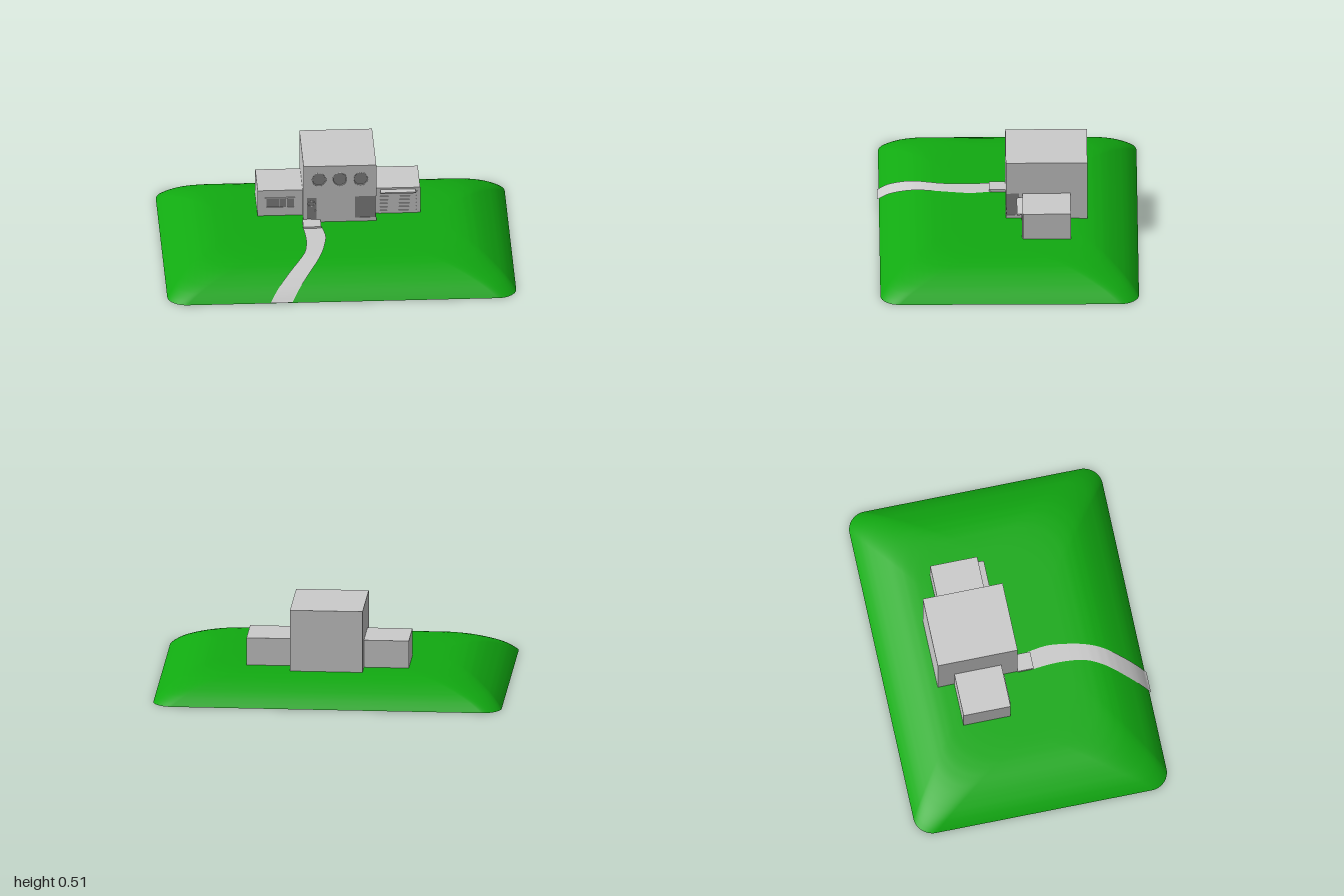
import * as THREE from 'three';

const grey = new THREE.MeshStandardMaterial({ color: 0xcccccc });
const dark = new THREE.MeshStandardMaterial({ color: 0x858585 });
const green = new THREE.MeshStandardMaterial({ color: 0x11aa11 });
const stone = new THREE.MeshStandardMaterial({ color: 0xcccccc, side: THREE.DoubleSide });

const HALF_X = 1, HALF_Z = 0.74, MID_Z = -0.005;
// slope of the hill: inset from the rim -> height
const slope = [[0, 0], [0.02, 0.022], [0.05, 0.049], [0.08, 0.07], [0.12, 0.093], [0.16, 0.113],
  [0.2, 0.129], [0.25, 0.142], [0.3, 0.149], [0.36, 0.152], [0.42, 0.153]];

function hillHeight(inset) {
  for (let i = 1; i < slope.length; i++) {
    const [a, ya] = slope[i - 1], [b, yb] = slope[i];
    if (inset <= b) return ya + (yb - ya) * Math.max(0, inset - a) / (b - a);
  }
  return slope[slope.length - 1][1];
}

function add(group, name, geometry, material = grey) {
  const mesh = new THREE.Mesh(geometry, material);
  mesh.name = name;
  group.add(mesh);
  return mesh;
}

// box given by its limits on each axis
function block(group, name, [x0, x1], [y0, y1], [z0, z1], material) {
  const mesh = add(group, name, new THREE.BoxGeometry(x1 - x0, y1 - y0, z1 - z0), material);
  mesh.position.set((x0 + x1) / 2, (y0 + y1) / 2, (z0 + z1) / 2);
  return mesh;
}

function polygon(points) {
  return new THREE.Shape(points.map(([x, y]) => new THREE.Vector2(x, y)));
}

function frame(group, name, [x0, x1], [y0, y1], t, z, depth) {
  const shape = polygon([[x0, y0], [x1, y0], [x1, y1], [x0, y1]]);
  shape.holes.push(polygon([[x0 + t, y0 + t], [x0 + t, y1 - t], [x1 - t, y1 - t], [x1 - t, y0 + t]]));
  add(group, name, new THREE.ExtrudeGeometry(shape, { depth, bevelEnabled: false })).position.z = z;
}

// hill: rounded-rectangle rings stacked along the slope
function hillGeometry() {
  const pos = [], index = [], steps = 12, n = 4 * (steps + 1);
  const ring = (inset, y) => {
    const r = 0.11 + 0.45 * inset, cx = HALF_X - inset - r, cz = HALF_Z - inset - r;
    for (let c = 0; c < 4; c++) {
      for (let s = 0; s <= steps; s++) {
        const a = (c + s / steps) * Math.PI / 2;
        const sx = c === 0 || c === 3 ? 1 : -1, sz = c < 2 ? 1 : -1;
        pos.push(sx * cx + r * Math.cos(a), y, MID_Z + sz * Math.max(cz, 0) + r * Math.sin(a));
      }
    }
  };
  const rings = 28;
  for (let i = 0; i <= rings; i++) {
    const inset = 0.42 * (i / rings) ** 1.3;
    ring(inset, hillHeight(inset));
  }
  for (let i = 0; i < rings; i++) {
    for (let j = 0; j < n; j++) {
      const a = i * n + j, b = i * n + (j + 1) % n;
      index.push(a, a + n, b, b, a + n, b + n);
    }
  }
  const cap = (start, y, up) => {
    const centre = pos.length / 3;
    pos.push(0, y, MID_Z);
    for (let j = 0; j < n; j++) {
      const a = start + j, b = start + (j + 1) % n;
      index.push(centre, up ? b : a, up ? a : b);
    }
  };
  cap(rings * n, hillHeight(1), true);
  const base = pos.length / 3;
  ring(0, 0);
  cap(base, 0, false);
  const g = new THREE.BufferGeometry();
  g.setAttribute('position', new THREE.Float32BufferAttribute(pos, 3));
  g.setIndex(index);
  g.computeVertexNormals();
  return g;
}

// path: ribbon between two edge curves, draped over the hill
function pathGeometry() {
  const edge = (pts) => new THREE.SplineCurve(pts.map(([x, z]) => new THREE.Vector2(x, z)));
  const left = edge([[-0.195, 0.09], [-0.185, 0.2], [-0.186, 0.3], [-0.2, 0.4], [-0.245, 0.5], [-0.32, 0.61], [-0.415, 0.74]]);
  const right = edge([[-0.085, 0.09], [-0.07, 0.2], [-0.08, 0.3], [-0.1, 0.4], [-0.135, 0.5], [-0.2, 0.61], [-0.29, 0.74]]);
  const pos = [], index = [], n = 60;
  for (let i = 0; i <= n; i++) {
    for (const curve of [left, right]) {
      const p = curve.getPoint(i / n);
      const y = hillHeight(HALF_Z + MID_Z - p.y);
      pos.push(p.x, y + 0.006, p.y + 0.004);
    }
    if (i < n) {
      const a = 2 * i;
      index.push(a, a + 2, a + 1, a + 1, a + 2, a + 3);
    }
  }
  const g = new THREE.BufferGeometry();
  g.setAttribute('position', new THREE.Float32BufferAttribute(pos, 3));
  g.setIndex(index);
  g.computeVertexNormals();
  return g;
}

export function createModel() {
  const model = new THREE.Group();
  model.name = 'houseOnHill';
  add(model, 'hill', hillGeometry(), green);
  add(model, 'path', pathGeometry(), stone);

  // main block: a core with front and side skins that leave the openings recessed
  const X0 = -0.187, X1 = 0.23, Y0 = 0.145, Y1 = 0.508, Z0 = -0.455, Z1 = 0.012, skin = 0.008;
  const house = new THREE.Group();
  house.name = 'mainHouse';
  model.add(house);
  block(house, 'houseCore', [X0, X1 - skin], [Y0, Y1], [Z0, Z1 - skin]);

  const portholes = [-0.098, 0.021, 0.14], holeY = 0.423, holeR = 0.042;
  const front = polygon([[X0, Y0], [X1, Y0], [X1, 0.175], [0.107, 0.175], [0.107, 0.311], [X1, 0.311], [X1, Y1], [X0, Y1]]);
  for (const x of portholes) {
    front.holes.push(new THREE.Path().absarc(x, holeY, holeR, 0, Math.PI * 2, true));
  }
  front.holes.push(polygon([[-0.173, 0.168], [-0.173, 0.311], [-0.107, 0.311], [-0.107, 0.168]]));
  const extrude = { depth: skin, bevelEnabled: false, curveSegments: 32 };
  add(house, 'frontWall', new THREE.ExtrudeGeometry(front, extrude)).position.z = Z1 - skin;

  // side skin is drawn with its horizontal axis along -z
  const back = -Z0, fore = -(Z1 - skin);
  const side = polygon([[fore, Y0], [back, Y0], [back, Y1], [fore, Y1], [fore, 0.311], [0.063, 0.311], [0.063, 0.175], [fore, 0.175]]);
  const sideWall = add(house, 'sideWall', new THREE.ExtrudeGeometry(side, extrude));
  sideWall.rotation.y = Math.PI / 2;
  sideWall.position.x = X1 - skin;

  block(house, 'cornerWindow', [0.107, X1 - 0.003], [0.175, 0.311], [-0.063, Z1 - 0.003], dark);

  // round windows
  for (const x of portholes) {
    const glass = add(house, 'roundWindow', new THREE.CylinderGeometry(holeR, holeR, 0.004, 32), dark);
    glass.rotation.x = Math.PI / 2;
    glass.position.set(x, holeY, Z1 - skin + 0.001);
    add(house, 'roundWindowFrame', new THREE.TorusGeometry(holeR - 0.002, 0.003, 6, 32)).position.set(x, holeY, Z1 - 0.003);
  }

  // front door with a small round light, knob and step
  block(house, 'frontDoor', [-0.168, -0.112], [0.168, 0.306], [Z1 - skin, Z1 - 0.004], dark);
  frame(house, 'doorFrame', [-0.173, -0.107], [0.166, 0.311], 0.005, Z1 - skin, skin);
  add(house, 'doorLight', new THREE.TorusGeometry(0.018, 0.0025, 6, 24)).position.set(-0.14, 0.267, Z1 - 0.003);
  add(house, 'doorKnob', new THREE.SphereGeometry(0.004, 12, 8)).position.set(-0.12, 0.225, Z1 - 0.002);
  block(house, 'doorStep', [-0.193, -0.09], [0.14, 0.169], [Z1, 0.105]);

  // side wings
  const wingZ = [-0.358, -0.083], wingTop = 0.313, face = wingZ[1];
  block(model, 'rightWing', [-0.445, X0], [Y0, wingTop], wingZ);
  block(model, 'garage', [X1, 0.487], [Y0, wingTop], wingZ);

  // wing window
  block(model, 'wingWindowGlass', [-0.398, -0.236], [0.206, 0.264], [face, face + 0.002], dark);
  frame(model, 'wingWindowFrame', [-0.402, -0.232], [0.202, 0.268], 0.006, face, 0.007);
  for (const x of [-0.318, -0.28]) {
    block(model, 'wingWindowBar', [x - 0.002, x + 0.002], [0.206, 0.264], [face, face + 0.005]);
  }

  // garage door of horizontal slats, with a canopy above
  frame(model, 'garageDoorFrame', [0.25, 0.47], [0.146, 0.292], 0.006, face, 0.004);
  const slats = 6, y0 = 0.152, h = (0.286 - y0) / slats;
  for (let i = 0; i < slats; i++) {
    block(model, 'garageSlat', [0.256, 0.464], [y0 + i * h, y0 + (i + 1) * h - 0.003], [face, face + 0.003]);
  }
  const canopy = block(model, 'garageCanopy', [0.258, 0.46], [0.293, 0.301], [face - 0.004, -0.05]);
  canopy.rotation.x = 0.12;
  return model;
}
